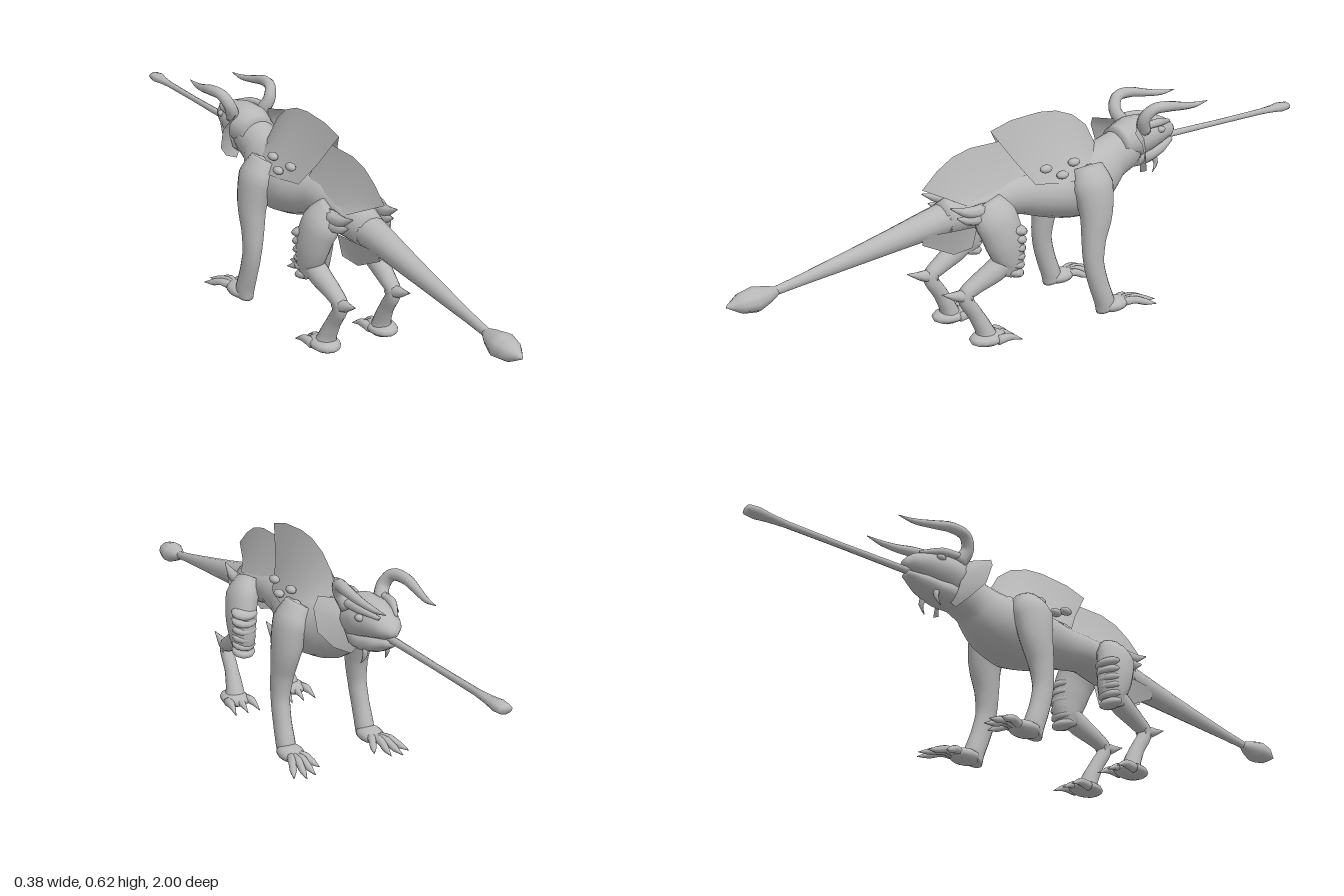
import * as THREE from 'three';
import { toCreasedNormals } from 'three/addons/utils/BufferGeometryUtils.js';

const skin = new THREE.MeshStandardMaterial({ color: 0xb8b8b8, side: THREE.DoubleSide });
skin.name = 'grey skin';

function indexed(verts, idx) {
  const g = new THREE.BufferGeometry();
  g.setAttribute('position', new THREE.Float32BufferAttribute(verts, 3));
  g.setIndex(idx);
  g.computeVertexNormals();
  return g;
}

// Closed smooth limb through stations [x, y, z, sideRadius, depthRadius]
function loft(st, sides = 14, sub = 4) {
  const path = new THREE.CatmullRomCurve3(st.map(p => new THREE.Vector3(p[0], p[1], p[2])), false, 'centripetal');
  const n = (st.length - 1) * sub, verts = [], idx = [];
  for (let i = 0; i <= n; i++) {
    const t = i / n, k = Math.min(Math.floor(i / sub), st.length - 2), f = i / sub - k;
    const c = path.getPoint(t), d = path.getTangent(t);
    const u = new THREE.Vector3(1, 0, 0).addScaledVector(d, -d.x).normalize();
    const v = d.clone().cross(u);
    const ru = THREE.MathUtils.lerp(st[k][3], st[k + 1][3], f);
    const rv = THREE.MathUtils.lerp(st[k][4] ?? st[k][3], st[k + 1][4] ?? st[k + 1][3], f);
    for (let j = 0; j < sides; j++) {
      const a = j / sides * Math.PI * 2;
      const p = c.clone().addScaledVector(u, Math.cos(a) * ru).addScaledVector(v, Math.sin(a) * rv);
      verts.push(p.x, p.y, p.z);
      const b = i * sides + j, e = i * sides + (j + 1) % sides;
      if (i < n) idx.push(b, e, b + sides, e, e + sides, b + sides);
    }
  }
  const s = verts.length / 3, last = n * sides;
  verts.push(...st[0].slice(0, 3), ...st[st.length - 1].slice(0, 3));
  for (let j = 0; j < sides; j++) {
    const m = (j + 1) % sides;
    idx.push(s, m, j, s + 1, last + j, last + m);
  }
  return indexed(verts, idx);
}

// Open sheet from rows of points
function sheet(rows) {
  const w = rows[0].length, idx = [];
  for (let i = 0; i < rows.length - 1; i++) for (let j = 0; j < w - 1; j++) {
    const a = i * w + j;
    idx.push(a, a + w, a + 1, a + 1, a + w, a + w + 1);
  }
  return toCreasedNormals(indexed(rows.flat(2), idx), 0.6);
}

export function createModel() {
  const root = new THREE.Group();
  const add = (name, geo, parent = root) => {
    const m = new THREE.Mesh(geo, skin);
    m.name = name;
    parent.add(m);
    return m;
  };
  const ball = (name, parent, pos, size, tilt = 0) => {
    const m = add(name, new THREE.SphereGeometry(1, 12, 8), parent);
    m.position.set(...pos);
    m.scale.set(...size);
    m.rotation.x = tilt;
  };

  // Trunk, neck and tail
  add('body', loft([
    [0, 0.37, 0.34, 0.045, 0.05], [0, 0.385, 0.25, 0.065, 0.06], [0, 0.4, 0.16, 0.062, 0.056],
    [0, 0.395, 0.07, 0.068, 0.066], [0, 0.385, -0.02, 0.095, 0.085], [0, 0.38, -0.11, 0.108, 0.1],
    [0, 0.395, -0.19, 0.09, 0.093], [0, 0.43, -0.26, 0.064, 0.07], [0, 0.455, -0.33, 0.058, 0.065]], 20));
  add('tail', loft([
    [0, 0.38, 0.25, 0.06, 0.055], [0, 0.37, 0.35, 0.045, 0.045], [0, 0.35, 0.48, 0.034, 0.035],
    [0, 0.328, 0.62, 0.024, 0.026], [0, 0.304, 0.78, 0.014, 0.016], [0, 0.288, 0.89, 0.01, 0.011]]));
  add('tailBulb', loft([
    [0, 0.292, 0.85, 0.009], [0, 0.289, 0.88, 0.026, 0.022], [0, 0.285, 0.92, 0.04, 0.034],
    [0, 0.284, 0.96, 0.031, 0.027], [0, 0.284, 1, 0.003]], 10, 3));

  // Head, lower jaw and long tongue
  add('head', loft([
    [0, 0.468, -0.28, 0.055, 0.05], [0, 0.478, -0.34, 0.07, 0.063], [0, 0.484, -0.39, 0.067, 0.056],
    [0, 0.485, -0.44, 0.053, 0.044], [0, 0.48, -0.48, 0.037, 0.029], [0, 0.474, -0.505, 0.012, 0.01]], 16));
  add('lowerJaw', loft([
    [0, 0.43, -0.31, 0.05, 0.045], [0, 0.422, -0.38, 0.053, 0.034], [0, 0.432, -0.44, 0.042, 0.026],
    [0, 0.446, -0.495, 0.018, 0.01]]));
  add('tongue', loft([
    [0, 0.457, -0.46, 0.011], [0, 0.456, -0.7, 0.009], [0, 0.456, -0.88, 0.01],
    [0, 0.456, -0.93, 0.016, 0.011], [0, 0.456, -0.97, 0.023, 0.015], [0, 0.456, -1, 0.02, 0.012]], 8, 2));

  // Back sails: tents from left base over the ridge to right base
  // stations: [ridge z, ridge y, base z, base y, base half width]
  const sail = (name, st) => add(name, sheet(st.map(([rz, ry, bz, by, w]) => {
    const my = by + (ry - by) * 0.42, mz = bz + (rz - bz) * 0.42;
    return [[-w, by, bz], [-w * 0.45, my, mz], [0, ry, rz], [w * 0.45, my, mz], [w, by, bz]];
  })));
  sail('frontSail', [
    [0.17, 0.595, 0.06, 0.43, 0.065], [0.1, 0.614, 0.03, 0.43, 0.075], [0, 0.62, -0.02, 0.425, 0.085],
    [-0.06, 0.613, -0.06, 0.425, 0.092], [-0.12, 0.59, -0.11, 0.43, 0.092],
    [-0.17, 0.55, -0.15, 0.435, 0.08], [-0.205, 0.485, -0.2, 0.44, 0.06]]);
  sail('rearSail', [
    [0.4, 0.47, 0.29, 0.415, 0.05], [0.35, 0.515, 0.26, 0.415, 0.052], [0.3, 0.545, 0.23, 0.42, 0.053],
    [0.24, 0.56, 0.19, 0.425, 0.052], [0.13, 0.56, 0.11, 0.42, 0.05], [0.07, 0.52, 0.06, 0.42, 0.055]]);

  for (const s of [1, -1]) {
    const side = new THREE.Group();
    side.name = s > 0 ? 'leftSide' : 'rightSide';
    root.add(side);
    const limb = (name, st, sides, sub) =>
      add(name, loft(st.map(p => [p[0] * s, ...p.slice(1)]), sides, sub), side);
    const flap = (name, rows) =>
      add(name, sheet(rows.map(r => r.map(p => [p[0] * s, p[1], p[2]]))), side);

    // Horn, brow, eye and neck frill
    limb('horn', [
      [0.05, 0.51, -0.35, 0.022], [0.068, 0.55, -0.335, 0.019], [0.083, 0.581, -0.355, 0.017],
      [0.092, 0.584, -0.41, 0.016], [0.088, 0.573, -0.47, 0.012], [0.079, 0.565, -0.53, 0.008],
      [0.075, 0.567, -0.58, 0.001]], 10);
    limb('brow', [[0.058, 0.525, -0.35, 0.012], [0.05, 0.524, -0.41, 0.013], [0.026, 0.512, -0.47, 0.005]], 8);
    ball('eye', side, [s * 0.054, 0.502, -0.415], [0.012, 0.01, 0.015]);
    limb('chinSpike', [[0.03, 0.41, -0.41, 0.01], [0.035, 0.39, -0.415, 0.007], [0.038, 0.365, -0.4, 0.001]], 6, 2);
    flap('neckFrill', [
      [[0.04, 0.525, -0.335], [0.1, 0.527, -0.275]], [[0.06, 0.49, -0.345], [0.12, 0.498, -0.285]],
      [[0.062, 0.45, -0.35], [0.118, 0.435, -0.305]], [[0.05, 0.41, -0.355], [0.085, 0.395, -0.335]],
      [[0.025, 0.395, -0.36], [0.04, 0.375, -0.35]]]);

    // Shoulder bumps
    for (let i = 0; i < 4; i++)
      ball('shoulderBump', side, [s * (0.073 + (i % 2) * 0.012), 0.475 - (i % 2) * 0.025, 0.03 - i * 0.05], [0.014, 0.012, 0.02]);

    // Front leg, paw and clawed fingers
    limb('frontLeg', [
      [0.07, 0.45, -0.12, 0.04, 0.05], [0.098, 0.4, -0.12, 0.051, 0.066], [0.116, 0.32, -0.12, 0.041, 0.054],
      [0.122, 0.24, -0.107, 0.033, 0.038], [0.127, 0.17, -0.105, 0.027, 0.032], [0.13, 0.1, -0.122, 0.026, 0.031],
      [0.131, 0.045, -0.142, 0.028, 0.031], [0.131, 0.015, -0.15, 0.026, 0.033]], 16);
    ball('frontPaw', side, [s * 0.132, 0.025, -0.175], [0.038, 0.023, 0.052]);
    for (const [x, z] of [[0.188, -0.3], [0.157, -0.318], [0.124, -0.308], [0.09, -0.27]]) {
      const at = f => [0.132 + (x - 0.132) * f, z * f - 0.175 * (1 - f)];
      const [a, b, c, d] = [0.2, 0.5, 0.76, 1].map(at);
      limb('frontFinger', [
        [a[0], 0.025, a[1], 0.014], [b[0], 0.029, b[1], 0.012], [c[0], 0.018, c[1], 0.01],
        [d[0], 0.01, d[1], 0.001]], 8, 3);
    }

    // Hind leg: thigh, shank to the hock, then down to the foot
    limb('thigh', [
      [0.055, 0.41, 0.23, 0.035, 0.05], [0.085, 0.37, 0.215, 0.046, 0.066], [0.1, 0.3, 0.195, 0.043, 0.06],
      [0.102, 0.24, 0.185, 0.036, 0.046], [0.1, 0.205, 0.2, 0.024, 0.03]], 16);
    limb('shank', [
      [0.1, 0.25, 0.185, 0.033, 0.035], [0.096, 0.22, 0.23, 0.031, 0.034], [0.09, 0.19, 0.29, 0.025, 0.026],
      [0.088, 0.165, 0.325, 0.021, 0.021], [0.089, 0.1, 0.29, 0.021, 0.022], [0.092, 0.05, 0.265, 0.027, 0.026],
      [0.095, 0.015, 0.255, 0.034, 0.035]], 14);
    limb('hockSpike', [[0.088, 0.165, 0.31, 0.023], [0.089, 0.172, 0.35, 0.016], [0.09, 0.19, 0.402, 0.001]], 8, 3);
    ball('hindFoot', side, [s * 0.097, 0.022, 0.255], [0.043, 0.021, 0.058]);
    for (const x of [0.068, 0.097, 0.126])
      limb('hindToe', [
        [x, 0.02, 0.24, 0.015], [x + (x - 0.097) * 0.2, 0.023, 0.205, 0.012],
        [x + (x - 0.097) * 0.4, 0.006, 0.163, 0.001]], 8, 3);

    // Overlapping scales down the front of the thigh
    for (let i = 0; i < 6; i++)
      ball('thighScale', side, [s * 0.105, 0.335 - i * 0.025, 0.163 + i * 0.002], [0.041 - i * 0.001, 0.017, 0.034], -0.3);

    // Hip spikes and the loose flap below the tail root
    limb('hipSpike', [[0.075, 0.4, 0.24, 0.022], [0.074, 0.405, 0.3, 0.016], [0.072, 0.428, 0.355, 0.002]], 8, 3);
    limb('lowerHipSpike', [[0.08, 0.38, 0.25, 0.02], [0.075, 0.382, 0.3, 0.014], [0.073, 0.395, 0.335, 0.002]], 8, 3);
    flap('hipFlap', [
      [[0.035, 0.35, 0.42], [0.025, 0.32, 0.42]], [[0.05, 0.35, 0.34], [0.03, 0.27, 0.32]],
      [[0.06, 0.35, 0.26], [0.05, 0.285, 0.27]]]);
  }
  return root;
}
